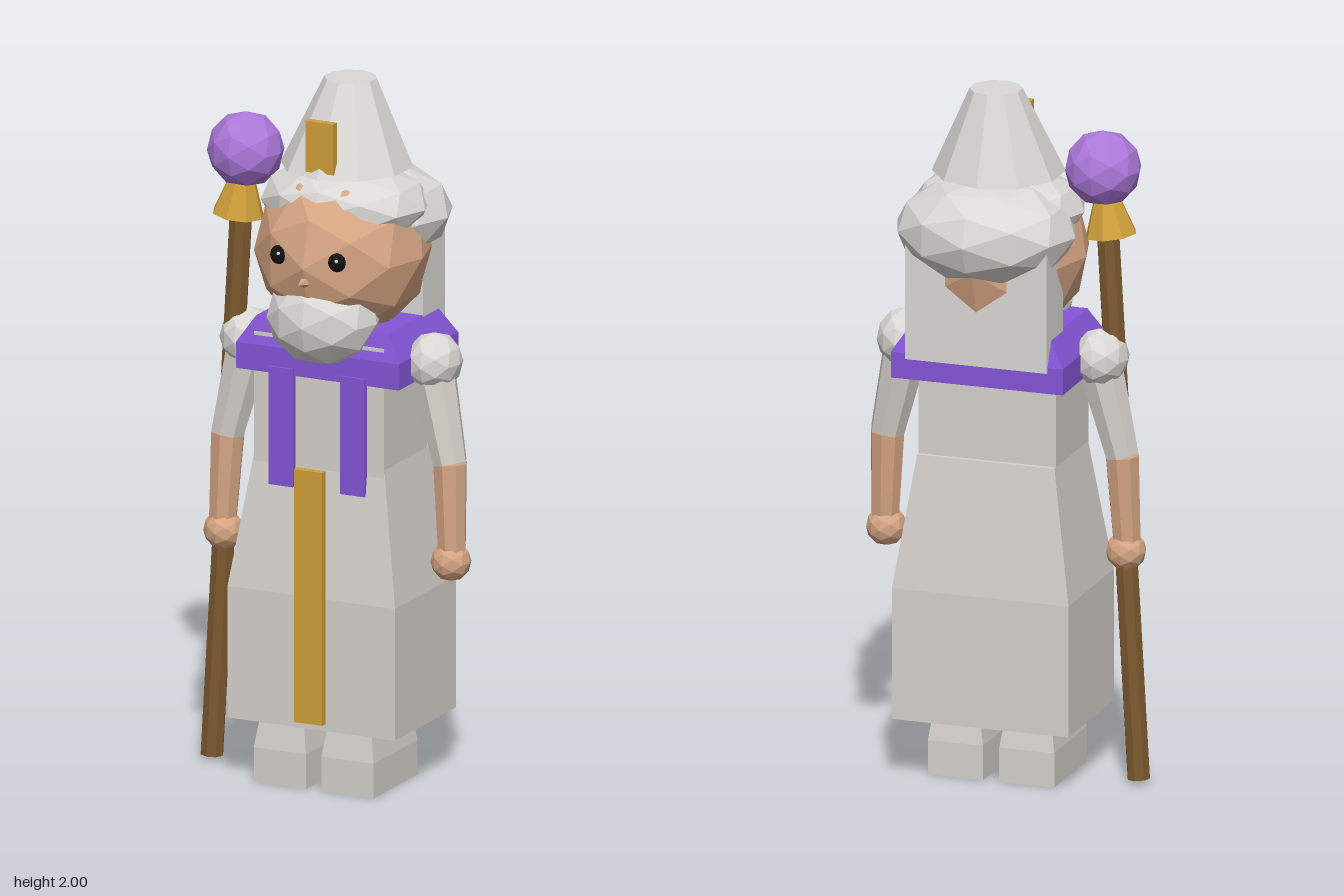
import * as THREE from 'three';

const mat = (name, color) => {
  const m = new THREE.MeshStandardMaterial({ color, flatShading: true });
  m.name = name;
  return m;
};

export function createModel() {
  const robe = mat('robe cloth', 0xd6d1cb);
  const hair = mat('white hair', 0xdad8d4);
  const skin = mat('skin', 0xd6a583);
  const purple = mat('purple trim', 0x8455d6);
  const orbMat = mat('orb', 0xac78da);
  const gold = mat('gold', 0xd0a03a);
  const wood = mat('wood', 0x7d5a30);
  const black = mat('black', 0x111111);
  const white = mat('eye glint', 0xffffff);

  const model = new THREE.Group();
  model.name = 'robedElder';
  const CX = 0.007; // middle of the body
  const body = new THREE.Group();
  body.name = 'body';
  body.position.x = CX;
  model.add(body);

  const add = (parent, name, geometry, material, x = 0, y = 0, z = 0) => {
    const mesh = new THREE.Mesh(geometry, material);
    mesh.name = name;
    mesh.position.set(x, y, z);
    parent.add(mesh);
    return mesh;
  };
  const box = (parent, name, material, [x0, x1], [y0, y1], [z0, z1]) =>
    add(parent, name, new THREE.BoxGeometry(x1 - x0, y1 - y0, z1 - z0), material,
      (x0 + x1) / 2, (y0 + y1) / 2, (z0 + z1) / 2);
  const blob = (parent, name, material, pos, rx, ry = rx, rz = rx) =>
    add(parent, name, new THREE.IcosahedronGeometry(1, 1).scale(rx, ry, rz), material, ...pos);

  // Box shaped by rectangular rings [y, halfWidth, zBack, zFront], bottom to top
  const loft = (parent, name, material, rings, x = 0) => {
    const n = rings.length - 1;
    const g = new THREE.BoxGeometry(1, 1, 1, 1, n, 1);
    const p = g.attributes.position;
    for (let i = 0; i < p.count; i++) {
      const [y, w, zb, zf] = rings[Math.round((p.getY(i) + 0.5) * n)];
      p.setXYZ(i, Math.sign(p.getX(i)) * w, y, p.getZ(i) > 0 ? zf : zb);
    }
    g.computeVertexNormals();
    return add(parent, name, g, material, x);
  };

  // Tapered rod between two points
  const rod = (parent, name, material, from, to, r0, r1, sides = 8) => {
    const a = new THREE.Vector3(...from), b = new THREE.Vector3(...to);
    const d = b.clone().sub(a);
    const mid = a.clone().add(b).multiplyScalar(0.5);
    const mesh = add(parent, name, new THREE.CylinderGeometry(r1, r0, d.length(), sides),
      material, mid.x, mid.y, mid.z);
    mesh.quaternion.setFromUnitVectors(new THREE.Vector3(0, 1, 0), d.normalize());
    return mesh;
  };

  // Robe
  loft(body, 'skirt', robe, [
    [0.18, 0.26, -0.16, 0.215], [0.56, 0.26, -0.16, 0.215], [0.94, 0.202, -0.113, 0.165]]);
  box(body, 'torso', robe, [-0.202, 0.202], [0.9, 1.29], [-0.1, 0.168]);
  box(body, 'robeBand', gold, [-0.044, 0.044], [0.2, 0.93], [0.213, 0.235]);

  // Collar and hanging stole
  loft(body, 'collar', purple, [
    [1.18, 0.253, -0.188, 0.177], [1.255, 0.253, -0.188, 0.177], [1.33, 0.205, -0.155, 0.15]]);

  for (const s of [-1, 1]) {
    const side = s > 0 ? 'left' : 'right';
    box(body, side + 'Stole', purple, [s * 0.111 - 0.038, s * 0.111 + 0.038],
      [0.86, 1.2], [0.165, 0.184]);
    loft(body, side + 'Foot', robe, [
      [0, 0.081, -0.07, 0.2], [0.1, 0.081, -0.07, 0.2], [0.2, 0.066, -0.055, 0.185]], s * 0.105);

    // Arm
    const arm = new THREE.Group();
    arm.name = side + 'Arm';
    body.add(arm);
    blob(arm, 'shoulder', hair, [s * 0.289, 1.232, 0.03], 0.078, 0.083, 0.089);
    rod(arm, 'sleeve', robe, [s * 0.345, 0.95, 0.045], [s * 0.287, 1.2, 0.033], 0.049, 0.065);
    rod(arm, 'forearm', skin, [s * 0.356, 0.69, 0.055], [s * 0.345, 0.95, 0.045], 0.04, 0.049);
    blob(arm, 'hand', skin, [s * 0.353, 0.67, 0.055], 0.057);
  }

  // Head
  const head = new THREE.Group();
  head.name = 'head';
  body.add(head);
  blob(head, 'face', skin, [0, 1.52, 0.02], 0.247, 0.25, 0.25);
  blob(head, 'beard', hair, [0, 1.35, 0.14], 0.165, 0.137, 0.138);
  const nose = add(head, 'nose', new THREE.ConeGeometry(0.024, 0.06, 5), skin, 0, 1.48, 0.265);
  nose.rotation.x = Math.PI / 2;
  for (const s of [-1, 1]) {
    blob(head, 'eye', black, [s * 0.09, 1.543, 0.235], 0.026, 0.028, 0.022);
    blob(head, 'eyeGlint', white, [s * 0.09 + 0.008, 1.552, 0.255], 0.005);
  }

  // Hair
  blob(head, 'topHair', hair, [0, 1.655, 0.005], 0.248, 0.117, 0.197);
  blob(head, 'backHair', hair, [0.005, 1.61, -0.095], 0.262, 0.15, 0.205);
  box(head, 'longHair', hair, [-0.208, 0.208], [1.24, 1.6], [-0.195, -0.06]);

  // Hat, leaning slightly back
  const hatGeo = new THREE.CylinderGeometry(0.074, 0.186, 0.245, 10);
  const hp = hatGeo.attributes.position;
  for (let i = 0; i < hp.count; i++) if (hp.getY(i) > 0) hp.setZ(i, hp.getZ(i) - 0.022);
  hatGeo.computeVertexNormals();
  add(head, 'hat', hatGeo, hair, 0, 1.8775, -0.005);
  box(head, 'hatBadge', gold, [-0.043, 0.043], [1.77, 1.917], [0.143, 0.165]);

  // Staff
  const staff = new THREE.Group();
  staff.name = 'staff';
  model.add(staff);
  rod(staff, 'shaft', wood, [-0.385, 0.015, 0.05], [-0.293, 1.62, 0.05], 0.033, 0.033);
  rod(staff, 'orbHolder', gold, [-0.304, 1.585, 0.05], [-0.29, 1.7, 0.05], 0.074, 0.034);
  blob(staff, 'orb', orbMat, [-0.28, 1.775, 0.05], 0.108);

  return model;
}
